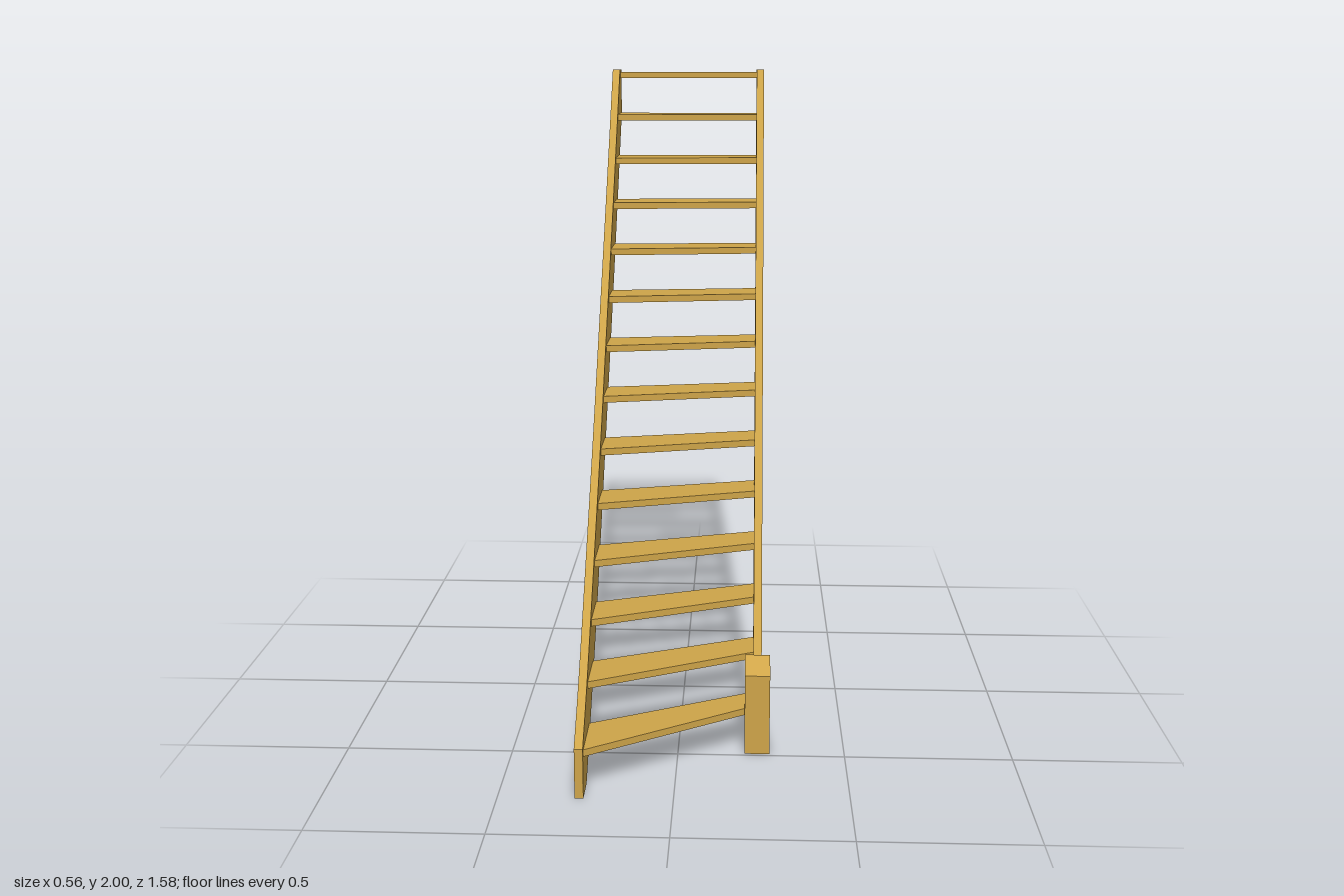
import * as THREE from 'three';

const wood = new THREE.MeshStandardMaterial({ color: 0xcfa549, flatShading: true });

// Extrudes a side profile of [z, y] points across x0..x1
function sidePanel(name, points, x0, x1) {
  const shape = new THREE.Shape(points.map(([z, y]) => new THREE.Vector2(z, y)));
  const geo = new THREE.ExtrudeGeometry(shape, { depth: x1 - x0, bevelEnabled: false });
  geo.rotateY(-Math.PI / 2).translate(x1, 0, 0);
  const mesh = new THREE.Mesh(geo, wood);
  mesh.name = name;
  return mesh;
}

// Extrudes a plan outline of [x, z] points upwards from y0
function board(name, points, y0, thickness) {
  const shape = new THREE.Shape(points.map(([x, z]) => new THREE.Vector2(x, -z)));
  const geo = new THREE.ExtrudeGeometry(shape, { depth: thickness, bevelEnabled: false });
  geo.rotateX(-Math.PI / 2).translate(0, y0, 0);
  const mesh = new THREE.Mesh(geo, wood);
  mesh.name = name;
  return mesh;
}

export function createModel() {
  const group = new THREE.Group();
  group.name = 'winderStaircase';

  // Curved outer stringer: smooth top and bottom edges
  const curve = (pts) => new THREE.SplineCurve(pts.map(([z, y]) => new THREE.Vector2(z, y)))
    .getPoints(32).map((p) => [p.x, p.y]);
  const topEdge = curve([[0.79, 0.15], [0.635, 0.305], [0.39, 0.59], [0.155, 0.87],
    [-0.065, 1.15], [-0.29, 1.435], [-0.51, 1.72], [-0.72, 2]]);
  const bottomEdge = curve([[-0.787, 1.85], [-0.51, 1.47], [-0.29, 1.18], [-0.065, 0.895],
    [0.155, 0.615], [0.4, 0.315], [0.70, 0]]);
  group.add(sidePanel('outerStringer',
    [[0.79, 0], ...topEdge, [-0.787, 2], ...bottomEdge], -0.28, -0.255));

  // Straight inner stringer
  group.add(sidePanel('innerStringer',
    [[0.43, 0], [0.43, 0.252], [-0.72, 2], [-0.787, 2], [-0.787, 1.85]], 0.225, 0.25));

  // Short newel post with a sloping top
  group.add(sidePanel('newelPost',
    [[0.49, 0], [0.49, 0.25], [0.435, 0.292], [0.427, 0.292], [0.427, 0]], 0.2, 0.275));

  // Treads fan out towards the bottom; each one runs a little under the next
  const outerZ = [0.775, 0.63, 0.505, 0.385, 0.265, 0.15, 0.035, -0.075, -0.185, -0.295, -0.405, -0.515, -0.625, -0.735];
  const innerZ = [0.464, 0.388, 0.295, 0.203, 0.11, 0.016, -0.077, -0.17, -0.264, -0.357, -0.45, -0.545, -0.64, -0.735];
  const last = outerZ.length - 1;
  const overlap = 0.03;
  for (let i = 0; i <= last; i++) {
    const backOuter = i < last ? outerZ[i + 1] - overlap : -0.787;
    const backInner = i < last ? innerZ[i + 1] - overlap : -0.787;
    group.add(board(i < last ? 'tread' + (i + 1) : 'landingNosing', [
      [-0.255, outerZ[i]], [0.225, innerZ[i]], [0.225, backInner], [-0.255, backOuter],
    ], 0.121 + i * 0.1423, 0.021));
  }
  return group;
}
